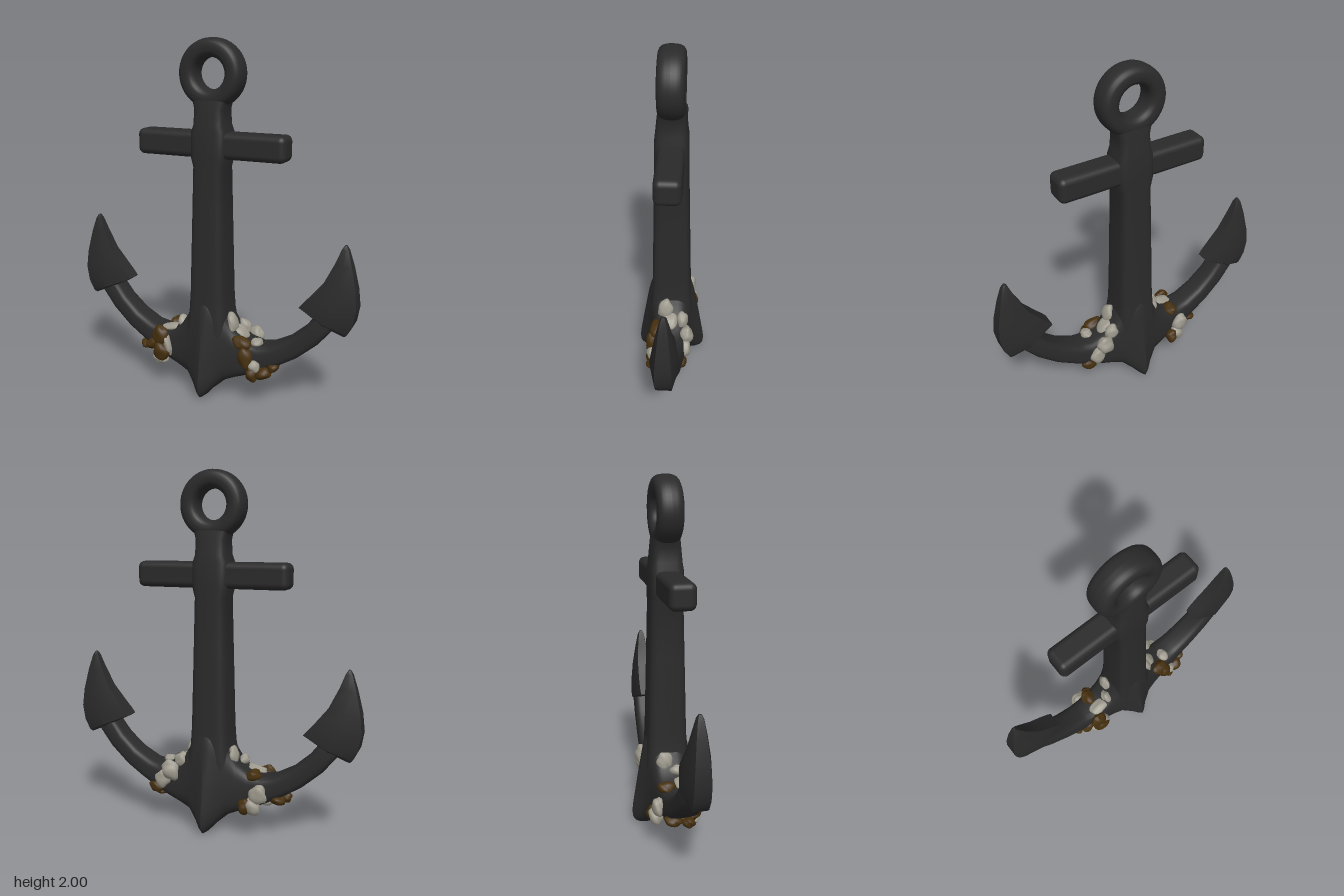
import * as THREE from 'three';
import { toCreasedNormals } from 'three/addons/utils/BufferGeometryUtils.js';
import { RoundedBoxGeometry } from 'three/addons/geometries/RoundedBoxGeometry.js';

const material = (name, color) => Object.assign(new THREE.MeshStandardMaterial({ color }), { name });

// Skin a list of equal-length rings ([x, y, z] points) and close both ends.
function loft(rings, crease = 0.7) {
  const n = rings[0].length, last = rings.length - 1;
  const points = rings.flat(), index = [];
  for (let i = 0; i < last; i++) {
    for (let j = 0; j < n; j++) {
      const a = i * n + j, b = i * n + (j + 1) % n;
      index.push(a, b, b + n, a, b + n, a + n);
    }
  }
  for (const k of [0, last]) {
    const centre = [0, 1, 2].map(c => rings[k].reduce((sum, p) => sum + p[c], 0) / n);
    const m = points.push(centre) - 1;
    for (let j = 0; j < n; j++) {
      const a = k * n + j, b = k * n + (j + 1) % n;
      index.push(m, ...(k ? [a, b] : [b, a]));
    }
  }
  const geometry = new THREE.BufferGeometry();
  geometry.setAttribute('position', new THREE.Float32BufferAttribute(points.flat(), 3));
  geometry.setIndex(index);
  return toCreasedNormals(geometry, crease);
}

// Unit rounded square; a higher power gives tighter corners.
function roundedSquare(power, count = 32) {
  const f = v => Math.sign(v) * Math.pow(Math.abs(v), 2 / power);
  return Array.from({ length: count }, (_, i) => {
    const a = (i / count) * Math.PI * 2;
    return [f(Math.cos(a)), f(Math.sin(a))];
  });
}

// Tapered shank: [y, half width, half depth]
function shankGeometry() {
  const levels = [
    [0.3, 0.13, 0.125], [0.42, 0.125, 0.122], [0.5, 0.112, 0.115], [0.6, 0.106, 0.11],
    [1.0, 0.097, 0.1], [1.32, 0.09, 0.092], [1.37, 0.104, 0.092], [1.51, 0.104, 0.09],
    [1.55, 0.09, 0.085], [1.63, 0.088, 0.077], [1.67, 0.1, 0.071], [1.7, 0.11, 0.066],
  ];
  return loft(levels.map(([y, w, d]) => roundedSquare(4.5).map(([c, s]) => [s * w, y, c * d])));
}

// Crown and both arms in one sweep:
// [upper x, upper y, lower x, lower y, half depth at top, half depth at bottom]
function armsGeometry() {
  const half = [
    [0.025, 0.59, 0.02, 0.015, 0.112, 0.2], [0.06, 0.55, 0.05, 0.05, 0.108, 0.168],
    [0.12, 0.48, 0.11, 0.1, 0.1, 0.132], [0.16, 0.415, 0.17, 0.127, 0.095, 0.115],
    [0.22, 0.365, 0.25, 0.157, 0.09, 0.1], [0.3, 0.345, 0.34, 0.2, 0.084, 0.09],
    [0.37, 0.358, 0.43, 0.25, 0.077, 0.082], [0.47, 0.412, 0.53, 0.313, 0.073, 0.076],
    [0.56, 0.492, 0.64, 0.41, 0.069, 0.071], [0.62, 0.57, 0.72, 0.51, 0.066, 0.067],
    [0.65, 0.64, 0.75, 0.6, 0.05, 0.05],
  ];
  const mirrored = half.map(([ux, uy, lx, ly, t, b]) => [-ux, uy, -lx, ly, t, b]).reverse();
  const all = [...mirrored, [0, 0.6, 0, 0, 0.115, 0.215], ...half];
  const mix = THREE.MathUtils.lerp;
  return loft(all.map(([ux, uy, lx, ly, top, bottom]) =>
    roundedSquare(Math.abs(ux) < 0.1 ? 6 : 3.6).map(([c, s]) => {
      const t = (c + 1) / 2;
      return [mix(lx, ux, t), mix(ly, uy, t), s * mix(bottom, top, t)];
    })));
}

// Ridged fluke: [outer x, outer y, inner x, inner y, edge half depth, ridge half depth]
function flukeGeometry() {
  const levels = [
    [0.78, 0.483, 0.54, 0.597, 0.036, 0.066], [0.795, 0.495, 0.53, 0.605, 0.042, 0.078],
    [0.825, 0.555, 0.55, 0.63, 0.044, 0.078], [0.84, 0.64, 0.598, 0.685, 0.043, 0.07],
    [0.83, 0.74, 0.662, 0.765, 0.037, 0.057], [0.803, 0.86, 0.715, 0.875, 0.026, 0.036],
    [0.778, 0.945, 0.743, 0.95, 0.015, 0.019], [0.765, 0.97, 0.755, 0.97, 0.006, 0.008],
  ];
  return loft(levels.map(([ox, oy, ix, iy, e, m]) => {
    const mx = ox * 0.55 + ix * 0.45, my = oy * 0.55 + iy * 0.45;
    return [[mx, my, m], [ox, oy, e], [ox, oy, -e], [mx, my, -m], [ix, iy, -e], [ix, iy, e]];
  }), 0.6);
}

// Lumpy blob of marine growth
function growthGeometry(rx, ry, rz, seed) {
  const geometry = new THREE.SphereGeometry(1, 18, 14);
  const p = geometry.attributes.position, v = new THREE.Vector3();
  for (let i = 0; i < p.count; i++) {
    v.fromBufferAttribute(p, i);
    const bump = 1 + 0.1 * Math.sin(4 * v.x + seed) * Math.cos(3 * v.y + seed * 2) + 0.07 * Math.sin(5 * v.z + 4 * v.y + seed);
    p.setXYZ(i, v.x * rx * bump, v.y * ry * bump, v.z * rz * bump);
  }
  geometry.computeVertexNormals();
  return geometry;
}

export function createModel() {
  const model = new THREE.Group();
  model.name = 'anchor';
  const iron = material('dark iron', 0x2a2a2b);
  const brown = material('brown growth', 0x46300f);
  const pale = material('pale growth', 0x9c988c);
  const add = (name, geometry, mat, parent = model) => {
    const mesh = new THREE.Mesh(geometry, mat);
    mesh.name = name;
    parent.add(mesh);
    return mesh;
  };

  add('shank', shankGeometry(), iron);
  add('crownAndArms', armsGeometry(), iron);
  add('stock', new RoundedBoxGeometry(0.876, 0.142, 0.14, 4, 0.034), iron).position.y = 1.44;

  // Top ring
  const profile = roundedSquare(2.7, 24).map(([c, s]) => new THREE.Vector2(0.134 + c * 0.051, s * 0.07));
  profile.push(profile[0].clone());
  const ring = add('topRing', new THREE.LatheGeometry(profile, 48), iron);
  ring.rotation.x = Math.PI / 2;
  ring.position.y = 1.815;

  // Flukes
  const fluke = flukeGeometry();
  add('leftFluke', fluke, iron);
  add('rightFluke', fluke, iron).rotation.y = Math.PI;

  // Marine growth: [x, y, z, radius x, radius y, radius z, tilt]
  const clumps = {
    brownGrowth: [brown, [
      [-0.29, 0.31, 0.1, 0.05, 0.06, 0.035, 0], [-0.28, 0.22, 0.11, 0.05, 0.055, 0.04, 0.3],
      [-0.36, 0.24, 0.07, 0.05, 0.032, 0.035, 0.5], [-0.42, 0.215, 0.04, 0.034, 0.03, 0.035, 0],
      [-0.23, 0.19, -0.12, 0.035, 0.045, 0.035, 0], [-0.26, 0.35, -0.05, 0.04, 0.03, 0.05, 0],
      [-0.4, 0.225, -0.04, 0.04, 0.03, 0.05, 0],
      [0.22, 0.355, 0.08, 0.055, 0.035, 0.04, -0.3], [0.25, 0.28, 0.105, 0.04, 0.065, 0.035, 0.2],
      [0.29, 0.19, 0.1, 0.035, 0.04, 0.035, 0], [0.35, 0.205, 0.09, 0.05, 0.033, 0.04, 0.4],
      [0.4, 0.24, 0.06, 0.035, 0.026, 0.04, 0.5], [0.31, 0.19, 0, 0.05, 0.03, 0.09, 0.3],
      [0.33, 0.21, -0.07, 0.045, 0.035, 0.035, 0.4],
    ]],
    paleGrowth: [pale, [
      [-0.245, 0.27, 0.1, 0.022, 0.07, 0.03, 0.3], [-0.3, 0.165, 0.085, 0.045, 0.028, 0.045, -0.2],
      [-0.24, 0.355, 0.04, 0.07, 0.022, 0.04, 0.1], [-0.17, 0.4, 0.03, 0.04, 0.03, 0.04, -0.8],
      [-0.135, 0.45, -0.03, 0.025, 0.05, 0.045, -0.3],
      [-0.3, 0.26, -0.105, 0.05, 0.055, 0.033, 0.2], [-0.27, 0.19, -0.11, 0.045, 0.05, 0.04, 0],
      [0.14, 0.44, 0.03, 0.03, 0.065, 0.045, 0.3], [0.18, 0.385, 0, 0.05, 0.028, 0.05, -0.6],
      [0.3, 0.24, 0.1, 0.033, 0.035, 0.03, 0.3], [0.29, 0.355, 0.03, 0.035, 0.022, 0.04, 0],
      [0.23, 0.33, -0.095, 0.05, 0.06, 0.04, -0.4], [0.28, 0.27, -0.095, 0.045, 0.05, 0.03, 0],
      [0.17, 0.39, -0.07, 0.04, 0.045, 0.035, 0.6],
    ]],
  };
  for (const [name, [mat, blobs]] of Object.entries(clumps)) {
    const group = new THREE.Group();
    group.name = name;
    model.add(group);
    blobs.forEach(([x, y, z, rx, ry, rz, tilt], i) => {
      const mesh = add('growthLump', growthGeometry(rx, ry, rz, i * 1.7), mat, group);
      mesh.position.set(x, y, z);
      mesh.rotation.z = tilt;
    });
  }
  return model;
}
